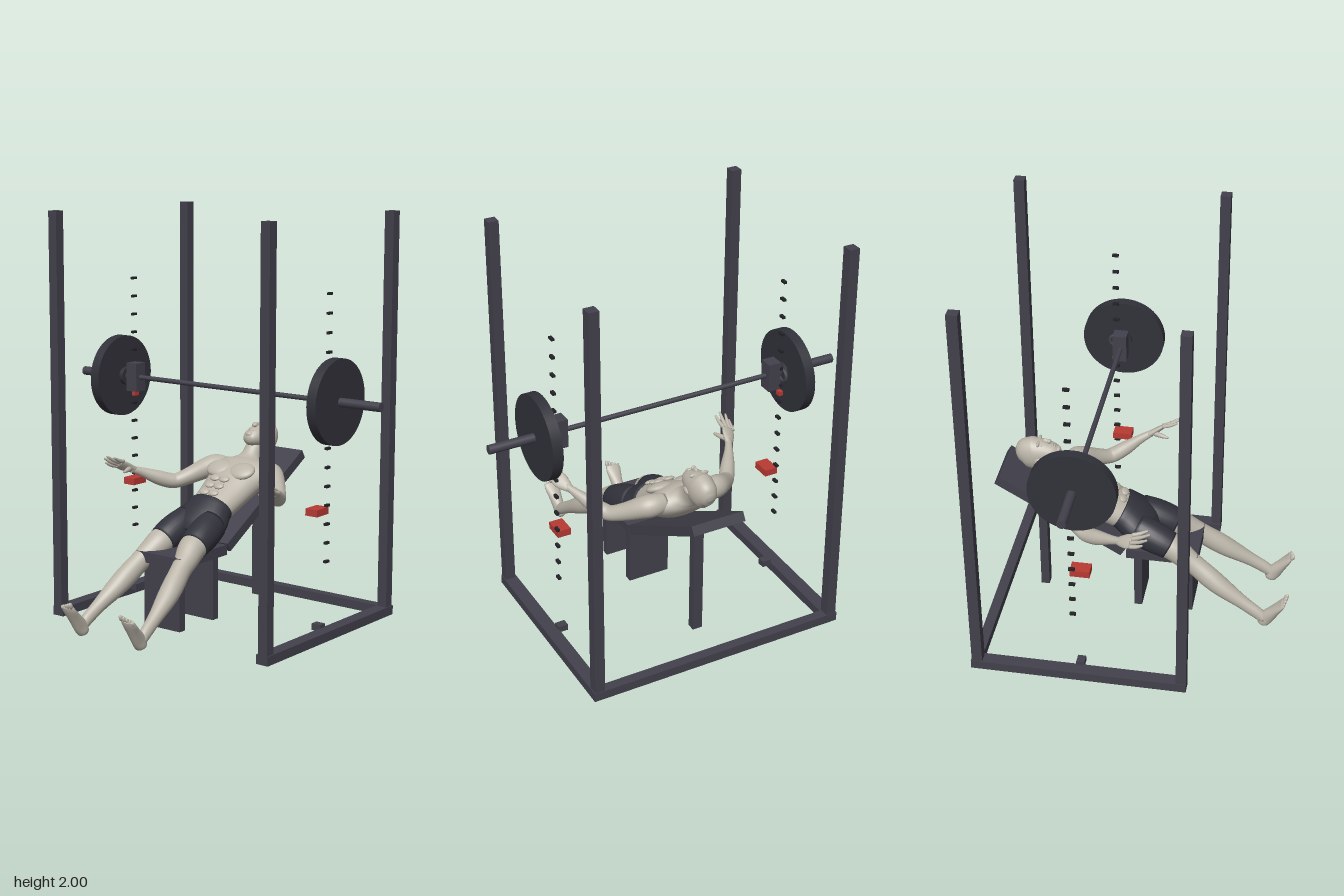
import * as THREE from 'three';

const paint = (name, color) => {
  const m = new THREE.MeshStandardMaterial({ color });
  m.name = name;
  return m;
};

export function createModel() {
  const model = new THREE.Group();
  model.name = 'benchPressRack';
  const steel = paint('darkSteel', 0x42414c);
  const iron = paint('plateIron', 0x31313a);
  const holeMat = paint('holeBlack', 0x222228);
  const red = paint('safetyRed', 0xb83a34);
  const skin = paint('skin', 0xbab4a8);
  const cloth = paint('shortsCloth', 0x32323c);

  const add = (name, geo, mat, x = 0, y = 0, z = 0, parent = model) => {
    const m = new THREE.Mesh(geo, mat);
    m.name = name;
    m.position.set(x, y, z);
    parent.add(m);
    return m;
  };
  // Box given by its limits on each axis
  const box = (name, mat, x0, x1, y0, y1, z0, z1) =>
    add(name, new THREE.BoxGeometry(x1 - x0, y1 - y0, z1 - z0), mat,
      (x0 + x1) / 2, (y0 + y1) / 2, (z0 + z1) / 2);
  // Box mirrored to both sides
  const pair = (name, mat, x0, x1, ...r) => {
    box(name + 'Left', mat, x0, x1, ...r);
    box(name + 'Right', mat, -x1, -x0, ...r);
  };
  const rod = (name, mat, r, x0, x1, y, z, sides = 24) => {
    add(name, new THREE.CylinderGeometry(r, r, x1 - x0, sides), mat, (x0 + x1) / 2, y, z).rotation.z = Math.PI / 2;
  };

  // Rack frame
  pair('frontPost', steel, 0.605, 0.655, 0, 2, 0.255, 0.305);
  pair('backPost', steel, 0.605, 0.655, 0, 2, -0.746, -0.694);
  pair('sideRail', steel, 0.595, 0.66, 0, 0.045, -0.75, 0.305);
  box('backRail', steel, -0.595, 0.595, 0, 0.045, -0.75, -0.7);
  pair('railBracket', steel, 0.55, 0.6, 0.03, 0.062, -0.24, -0.2);
  for (let i = 0; i < 15; i++) {
    const y = 0.364 + i * 0.0911;
    pair('heightMark', holeMat, 0.588, 0.603, y - 0.006, y + 0.006, -0.265, -0.235);
  }
  pair('safetyStop', red, 0.53, 0.597, 0.594, 0.628, -0.26, -0.165);
  pair('hookTip', red, 0.583, 0.605, 1.04, 1.062, -0.27, -0.24);

  // Barbell
  const by = 1.143, bz = -0.22;
  rod('bar', steel, 0.012, -0.54, 0.54, by, bz);
  for (const s of [1, -1]) {
    const span = (a, b) => (s > 0 ? [a, b] : [-b, -a]);
    rod('sleeve', steel, 0.022, ...span(0.53, 0.905), by, bz);
    rod('weightPlate', iron, 0.204, ...span(0.632, 0.683), by, bz, 48);
    rod('plateHub', iron, 0.045, ...span(0.61, 0.634), by, bz);
    const ring = add('hookRing', new THREE.TorusGeometry(0.03, 0.009, 8, 20), steel, s * 0.61, by, -0.255);
    ring.rotation.y = Math.PI / 2;
  }
  pair('barHolder', steel, 0.53, 0.595, 1.072, 1.215, -0.258, -0.188);

  // Bench
  box('seat', steel, -0.135, 0.135, 0.357, 0.407, -0.075, 0.28);
  box('frontLeg', steel, -0.108, 0.108, 0.042, 0.357, 0.215, 0.255);
  box('middleLeg', steel, -0.108, 0.108, 0.042, 0.357, -0.04, 0);
  box('rearLeg', steel, -0.025, 0.025, 0.042, 0.615, -0.537, -0.495);
  const slope = Math.atan2(0.365, 0.62);
  add('backrest', new THREE.BoxGeometry(0.27, 0.048, 0.72), steel, 0, 0.572, -0.402).rotation.x = slope;

  // Smooth body from elliptical sections [x, y, z, halfWidth, halfDepth]
  const loft = (name, mat, secs, ref = [1, 0, 0], s = 1, n = 28) => {
    const path = new THREE.CatmullRomCurve3(secs.map(c => new THREE.Vector3(s * c[0], c[1], c[2])), false, 'catmullrom');
    const size = new THREE.CatmullRomCurve3(secs.map(c => new THREE.Vector3(c[3], c[4], 0)), false, 'catmullrom');
    const rings = (secs.length - 1) * 5, pos = [], idx = [];
    const axis = new THREE.Vector3(s * ref[0], ref[1], ref[2]);
    for (let i = 0; i <= rings; i++) {
      const c = path.getPoint(i / rings), t = path.getTangent(i / rings), r = size.getPoint(i / rings);
      const u = axis.clone().addScaledVector(t, -axis.dot(t)).normalize();
      const v = t.clone().cross(u);
      for (let j = 0; j < n; j++) {
        const a = j / n * Math.PI * 2;
        const p = c.clone().addScaledVector(u, r.x * Math.cos(a)).addScaledVector(v, r.y * Math.sin(a));
        pos.push(p.x, p.y, p.z);
        if (i < rings) {
          const k = i * n + j, l = i * n + (j + 1) % n;
          idx.push(k, l, k + n, l, l + n, k + n);
        }
      }
    }
    // End caps
    const first = path.getPoint(0), last = path.getPoint(1), e = pos.length / 3;
    pos.push(...first.toArray(), ...last.toArray());
    for (let j = 0; j < n; j++) {
      const k = (j + 1) % n;
      idx.push(e, k, j, e + 1, rings * n + j, rings * n + k);
    }
    const g = new THREE.BufferGeometry();
    g.setAttribute('position', new THREE.Float32BufferAttribute(pos, 3));
    g.setIndex(idx);
    g.computeVertexNormals();
    return add(name, g, mat);
  };
  const blob = (name, mat, x, y, z, rx, ry, rz, tilt = 0) => {
    const m = add(name, new THREE.SphereGeometry(1, 20, 14), mat, x, y, z);
    m.scale.set(rx, ry, rz);
    m.rotation.x = tilt;
  };

  // Torso, shorts and head
  loft('torso', skin, [
    [0, 0.545, -0.1, 0.115, 0.078], [0, 0.565, -0.135, 0.12, 0.08], [0, 0.61, -0.22, 0.133, 0.083],
    [0, 0.655, -0.3, 0.148, 0.088], [0, 0.697, -0.37, 0.172, 0.08], [0, 0.722, -0.408, 0.155, 0.066],
    [0, 0.743, -0.43, 0.09, 0.055], [0, 0.768, -0.45, 0.052, 0.05], [0, 0.82, -0.49, 0.046, 0.046]]);
  loft('shortsHips', cloth, [
    [0, 0.564, -0.122, 0.124, 0.084], [0, 0.548, -0.095, 0.13, 0.086], [0, 0.51, -0.045, 0.148, 0.086],
    [0, 0.475, 0.005, 0.145, 0.075], [0, 0.45, 0.04, 0.09, 0.05]]);
  loft('head', skin, [
    [0, 0.835, -0.638, 0.008, 0.008], [0, 0.838, -0.628, 0.033, 0.042], [0, 0.845, -0.597, 0.054, 0.074],
    [0, 0.847, -0.55, 0.063, 0.087], [0, 0.855, -0.51, 0.06, 0.072], [0, 0.86, -0.47, 0.053, 0.053],
    [0, 0.86, -0.44, 0.042, 0.038], [0, 0.86, -0.422, 0.027, 0.023], [0, 0.86, -0.415, 0.008, 0.008]]);
  blob('nose', skin, 0, 0.915, -0.488, 0.011, 0.018, 0.024, 0.5);
  blob('noseTip', skin, 0, 0.922, -0.474, 0.013, 0.011, 0.01);
  blob('upperLip', skin, 0, 0.902, -0.457, 0.02, 0.009, 0.006);
  blob('lowerLip', skin, 0, 0.898, -0.447, 0.017, 0.009, 0.006);
  blob('chin', skin, 0, 0.882, -0.43, 0.02, 0.012, 0.013);

  for (const s of [1, -1]) {
    const side = s > 0 ? 'left' : 'right';
    blob(side + 'Brow', skin, s * 0.025, 0.917, -0.525, 0.024, 0.011, 0.009);
    blob(side + 'Eye', skin, s * 0.025, 0.907, -0.508, 0.012, 0.01, 0.007);
    blob(side + 'Ear', skin, s * 0.062, 0.84, -0.515, 0.008, 0.015, 0.024, -0.3);
    blob(side + 'Chest', skin, s * 0.068, 0.726, -0.28, 0.072, 0.026, 0.058, 0.52);
    for (let i = 0; i < 3; i++)
      blob(side + 'Abdomen', skin, s * 0.028, 0.697 - i * 0.027, -0.192 + i * 0.043, 0.028, 0.011, 0.021, 0.52);

    // Legs
    loft(side + 'ShortsLeg', cloth, [
      [0.075, 0.505, -0.035, 0.072, 0.078], [0.085, 0.477, 0.035, 0.078, 0.08],
      [0.092, 0.455, 0.09, 0.077, 0.075], [0.097, 0.434, 0.135, 0.072, 0.068]], [1, 0, 0], s);
    loft(side + 'Leg', skin, [
      [0.094, 0.45, 0.1, 0.068, 0.065], [0.1, 0.425, 0.155, 0.067, 0.064], [0.115, 0.385, 0.215, 0.057, 0.056],
      [0.127, 0.35, 0.27, 0.048, 0.051], [0.143, 0.295, 0.345, 0.05, 0.052], [0.155, 0.25, 0.41, 0.048, 0.046],
      [0.17, 0.185, 0.51, 0.033, 0.034], [0.178, 0.135, 0.585, 0.027, 0.031], [0.18, 0.105, 0.625, 0.026, 0.026]], [1, 0, 0], s);
    loft(side + 'Foot', skin, [
      [0.177, 0.066, 0.612, 0.01, 0.012], [0.177, 0.08, 0.618, 0.027, 0.03], [0.178, 0.115, 0.638, 0.029, 0.036],
      [0.18, 0.16, 0.673, 0.034, 0.027], [0.182, 0.2, 0.704, 0.04, 0.018], [0.183, 0.222, 0.718, 0.037, 0.012]], [1, 0, 0], s);
    for (let i = 0; i < 5; i++) {
      const r = 0.011 - i * 0.0009;
      blob(side + 'Toe', skin, s * (0.153 + i * 0.0155), 0.232 - i * 0.005, 0.727 - i * 0.003, r * 0.8, r * 1.6, r, 0.5);
    }

    // Arms
    loft(side + 'Arm', skin, [
      [0.1, 0.715, -0.385, 0.045, 0.045], [0.165, 0.712, -0.38, 0.055, 0.055], [0.205, 0.698, -0.355, 0.053, 0.054],
      [0.26, 0.665, -0.305, 0.044, 0.045], [0.31, 0.637, -0.25, 0.037, 0.039], [0.335, 0.638, -0.215, 0.038, 0.038],
      [0.37, 0.657, -0.165, 0.036, 0.034], [0.41, 0.686, -0.105, 0.025, 0.023],
      [0.433, 0.703, -0.065, 0.019, 0.018], [0.443, 0.711, -0.045, 0.018, 0.016]], [0, 1, 0], s);
    loft(side + 'Palm', skin, [
      [0.435, 0.704, -0.062, 0.018, 0.015], [0.447, 0.714, -0.04, 0.028, 0.016],
      [0.462, 0.729, -0.01, 0.037, 0.014], [0.472, 0.743, 0.015, 0.034, 0.01]], [0.85, -0.5, 0], s, 18);
    const tips = [[0.512, 0.752, 0.07], [0.502, 0.778, 0.09], [0.475, 0.792, 0.1], [0.442, 0.787, 0.085]];
    tips.forEach((t, i) => {
      const k = [0.498 - i * 0.017, 0.727 + i * 0.01, 0.006 + i * 0.002];
      const mid = k.map((v, a) => (v + t[a]) / 2 + (a === 1 ? -0.004 : 0));
      loft(side + 'Finger', skin, [[...k, 0.01, 0.01], [...mid, 0.0095, 0.0095], [...t, 0.005, 0.005]], [0.85, -0.5, 0], s, 10);
    });
    loft(side + 'Thumb', skin, [
      [0.445, 0.715, -0.04, 0.014, 0.013], [0.424, 0.716, 0.005, 0.012, 0.012], [0.413, 0.713, 0.045, 0.006, 0.006]], [0, 1, 0], s, 10);
  }
  return model;
}
